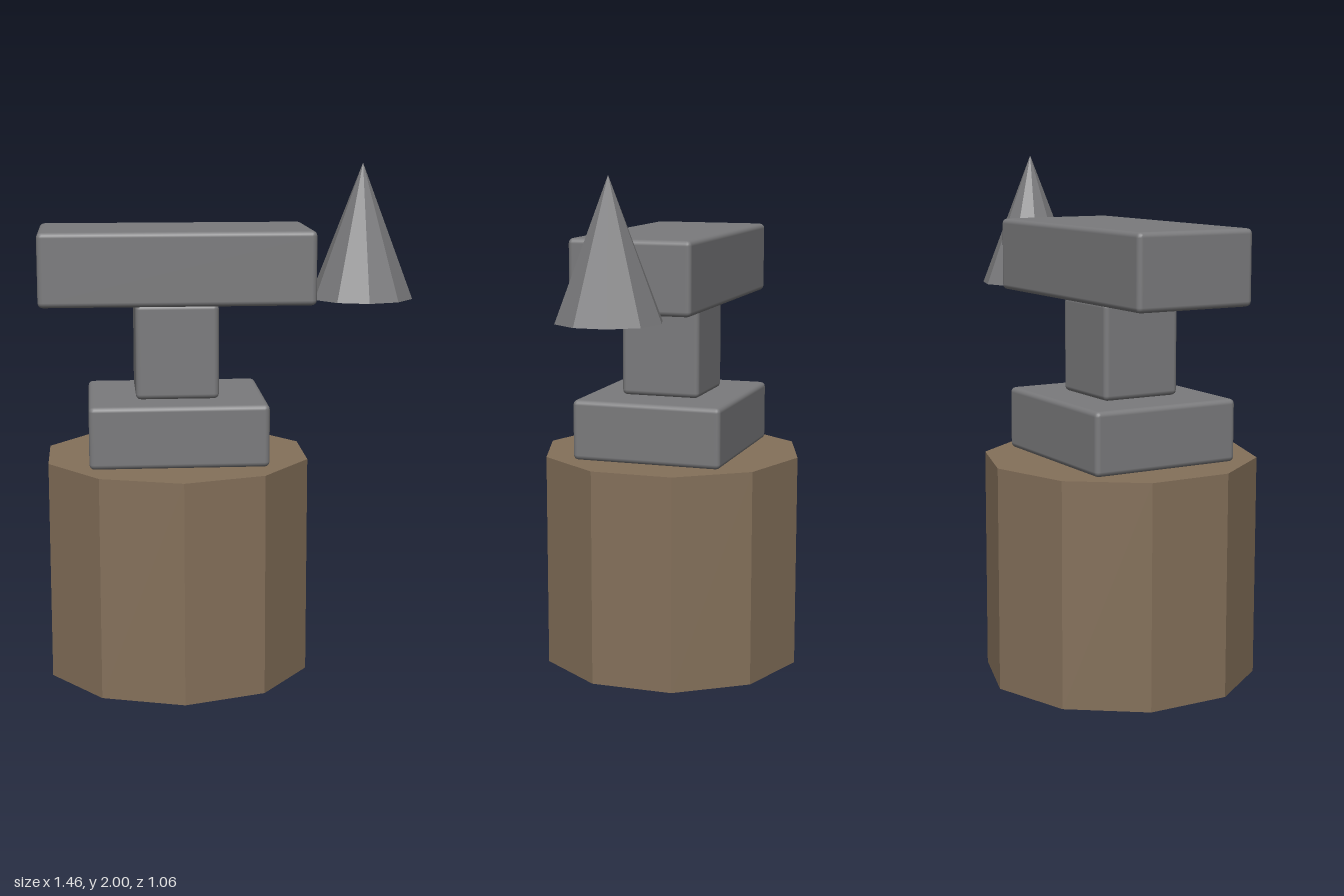
import * as THREE from 'three';
import { RoundedBoxGeometry } from 'three/addons/geometries/RoundedBoxGeometry.js';

export function createModel() {
  const model = new THREE.Group();
  model.name = 'anvilOnStump';
  const wood = new THREE.MeshStandardMaterial({ color: 0x84705a, flatShading: true });
  const iron = new THREE.MeshStandardMaterial({ color: 0x7a7a7c });
  const facetedIron = new THREE.MeshStandardMaterial({ color: 0x7a7a7c, flatShading: true });

  const add = (name, geometry, material, x, y) => {
    const mesh = new THREE.Mesh(geometry, material);
    mesh.name = name;
    mesh.position.set(x, y, 0);
    model.add(mesh);
  };

  // Softly bevelled iron block, placed by its x and y limits and centred on z
  const block = (name, x0, x1, y0, y1, depth) =>
    add(name, new RoundedBoxGeometry(x1 - x0, y1 - y0, depth, 2, 0.02), iron, (x0 + x1) / 2, (y0 + y1) / 2);

  // Ten-sided wooden stump
  add('stump', new THREE.CylinderGeometry(0.53, 0.53, 0.86, 10), wood, -0.2, 0.43);

  // Anvil body, from the foot up
  block('anvilFoot', -0.546, 0.142, 0.862, 1.104, 0.608);
  block('anvilWaist', -0.363, -0.041, 1.104, 1.473, 0.322);
  block('anvilTop', -0.73, 0.326, 1.473, 1.756, 0.486);

  // Upright ten-sided horn beside the top block
  add('horn', new THREE.ConeGeometry(0.203, 0.527, 10), facetedIron, 0.533, 1.7365);

  return model;
}
